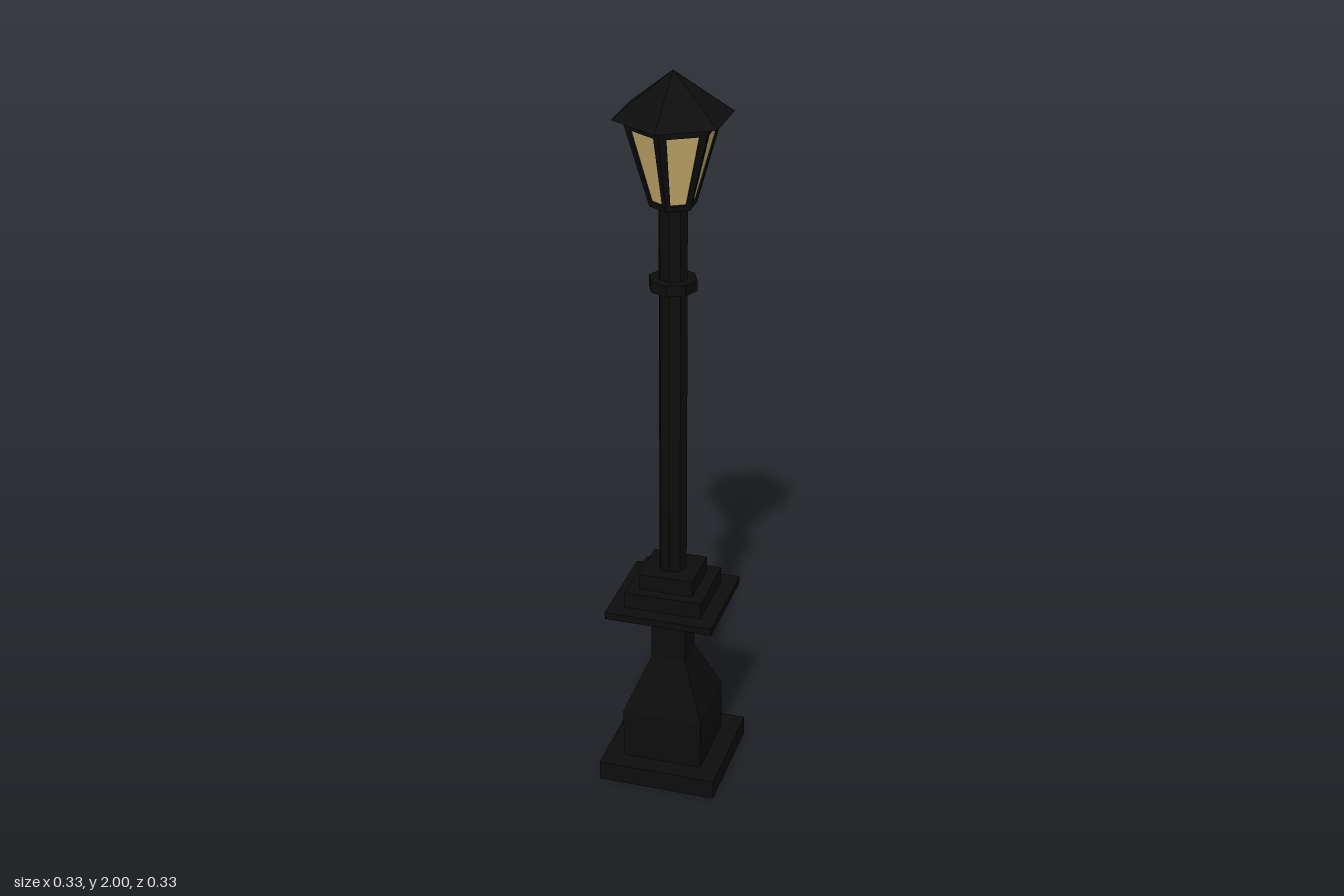
import * as THREE from 'three';

export function createModel() {
  const group = new THREE.Group();
  group.name = 'streetLamp';
  const iron = new THREE.MeshStandardMaterial({ color: 0x0d0d0d, flatShading: true });
  const glass = new THREE.MeshStandardMaterial({ color: 0xcdb06f, flatShading: true });

  const add = (name, geometry, material = iron, parent = group) => {
    const mesh = new THREE.Mesh(geometry, material);
    mesh.name = name;
    parent.add(mesh);
    return mesh;
  };
  // Box given by half sizes in x and z and its bottom and top heights
  const slab = (name, hx, hz, y0, y1) =>
    add(name, new THREE.BoxGeometry(hx * 2, y1 - y0, hz * 2).translate(0, (y0 + y1) / 2, 0));
  // Regular prism or frustum between two heights
  const prism = (name, rBottom, rTop, y0, y1, sides, material = iron) =>
    add(name, new THREE.CylinderGeometry(rTop, rBottom, y1 - y0, sides).translate(0, (y0 + y1) / 2, 0), material);

  // Square plinth and tapering pedestal
  slab('plinth', 0.163, 0.163, 0, 0.055);
  const profile = [[0.11, 0.055], [0.11, 0.2], [0.0475, 0.35], [0.0475, 0.51]]
    .map(([half, y]) => new THREE.Vector2(half * Math.SQRT2, y));
  add('pedestal', new THREE.LatheGeometry(profile, 4, Math.PI / 4)).scale.z = 0.98;

  // Stepped collar
  slab('collarPlate', 0.148, 0.143, 0.51, 0.53);
  slab('collarStep', 0.106, 0.101, 0.53, 0.575);
  slab('collarTop', 0.074, 0.071, 0.575, 0.62);

  // Eight-sided pole with a ring
  prism('pole', 0.038, 0.038, 0.62, 1.66, 8).scale.z = 0.94;
  prism('poleRing', 0.0635, 0.0635, 1.43, 1.46, 8).scale.z = 0.96;

  // Six-sided lantern: floor, glass body and peaked roof
  prism('lanternFloor', 0.0605, 0.064, 1.655, 1.668, 6);
  prism('lanternGlass', 0.056, 0.122, 1.66, 1.88, 6, glass);
  prism('roof', 0.155, 0, 1.885, 2, 6);

  // One frame per lantern face, with a tapered window opening
  const slant = 0.237, depth = 0.008;
  const frame = new THREE.Shape([[-0.0303, 0], [0.0303, 0], [0.064, slant], [-0.064, slant]]
    .map(p => new THREE.Vector2(...p)));
  frame.holes.push(new THREE.Path([[-0.02, 0.016], [-0.041, 0.212], [0.041, 0.212], [0.02, 0.016]]
    .map(p => new THREE.Vector2(...p))));
  const frameGeometry = new THREE.ExtrudeGeometry(frame, { depth, bevelEnabled: false })
    .translate(0, 0, -depth)
    .rotateX(Math.atan(0.058 / 0.23))
    .translate(0, 1.655, 0.0525);
  for (let i = 0; i < 6; i++) {
    add('lanternFrame', frameGeometry).rotation.y = Math.PI / 6 + i * Math.PI / 3;
  }
  return group;
}
